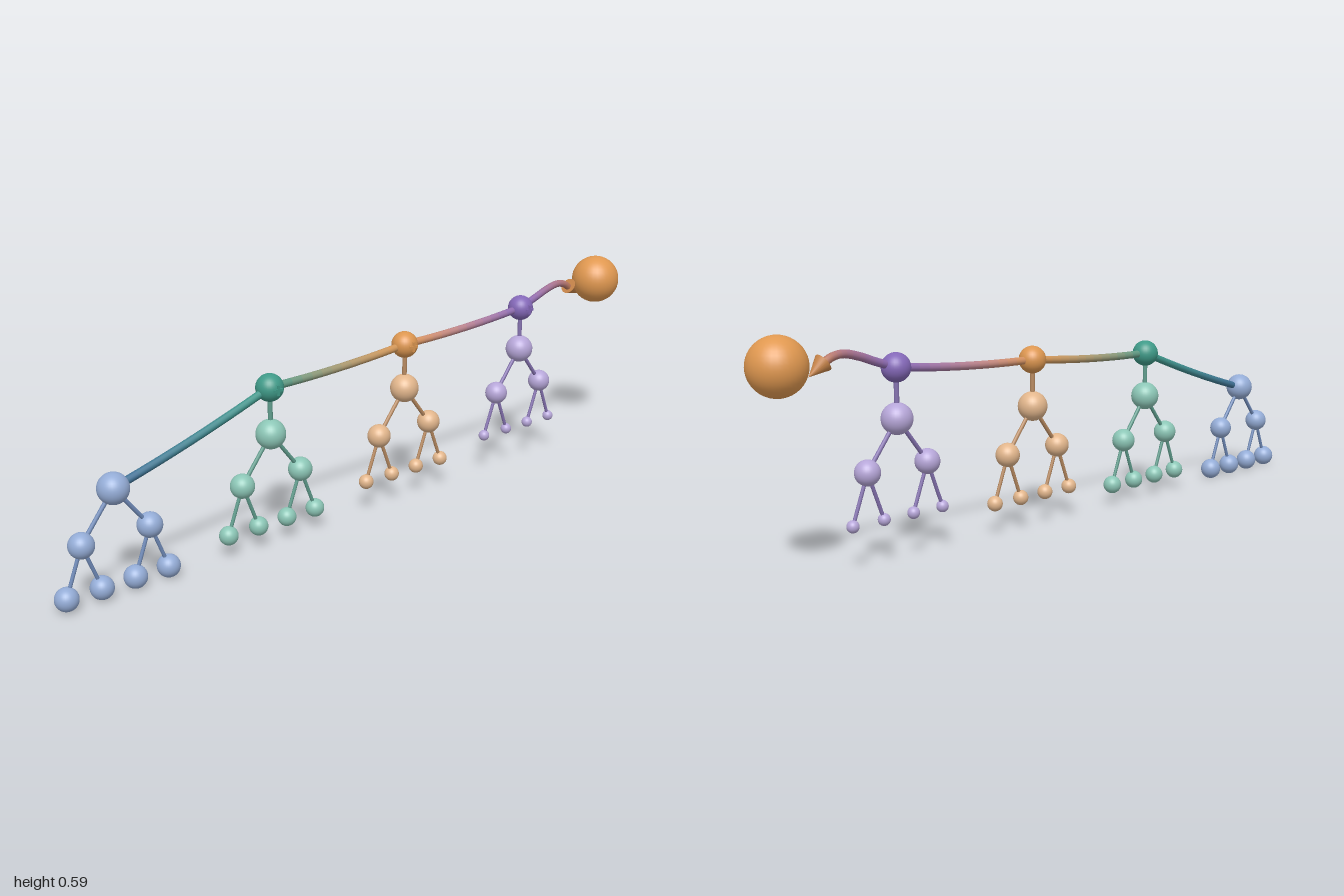
import * as THREE from 'three';

const V = (x, y, z = 0) => new THREE.Vector3(x, y, z);

function add(parent, name, geometry, color) {
  const mesh = new THREE.Mesh(geometry, new THREE.MeshStandardMaterial({ color }));
  mesh.name = name;
  parent.add(mesh);
  return mesh;
}

function ball(parent, name, p, r, color) {
  const mesh = add(parent, name, new THREE.SphereGeometry(r, 32, 20), color);
  mesh.position.copy(p);
  return mesh;
}

// Round rod from a to b
function rod(parent, name, a, b, r, color) {
  const d = b.clone().sub(a);
  const mesh = add(parent, name, new THREE.CylinderGeometry(r, r, d.length(), 12), color);
  mesh.position.copy(a).add(b).multiplyScalar(0.5);
  mesh.quaternion.setFromUnitVectors(V(0, 1), d.normalize());
  return mesh;
}

// Tube along a curve, in short pieces that fade from one colour to the next
function fadingTube(parent, name, curve, r, from, to, pieces = 14) {
  const a = new THREE.Color(from), b = new THREE.Color(to);
  for (let i = 0; i < pieces; i++) {
    const part = new THREE.Curve();
    part.getPoint = (t, target = V(0, 0)) => target.copy(curve.getPoint((i + t) / pieces));
    add(parent, name, new THREE.TubeGeometry(part, 3, r, 12),
      a.clone().lerp(b, (i + 0.5) / pieces));
  }
}

// Binary tree hanging from its root: two branches, four leaves
function tree(root, leafRadius, nodeColor, rodColor) {
  const g = new THREE.Group();
  g.name = 'tree';
  ball(g, 'rootNode', root, 0.04, nodeColor);
  for (const s of [-1, 1]) {
    const mid = V(root.x + s * 0.095, root.y - 0.12);
    rod(g, 'branch', root, mid, 0.0055, rodColor);
    ball(g, 'branchNode', mid, 0.0325, nodeColor);
    for (const t of [-1, 1]) {
      const leaf = V(mid.x + t * 0.048, root.y - 0.244);
      rod(g, 'twig', mid, leaf, 0.0048, rodColor);
      ball(g, 'leafNode', leaf, leafRadius, nodeColor);
    }
  }
  return g;
}

export function createModel() {
  const model = new THREE.Group();
  model.name = 'treeChain';

  // Colours per tree: nodes, rods, hub
  const palette = [
    [0x94acd6, 0x6f8ab8, 0x3f6a96],
    [0x8cc6b6, 0x5f9c8c, 0x3f9a88],
    [0xe2b68c, 0xb88a60, 0xdc9650],
    [0xb6a6d8, 0x8572b0, 0x8468b8],
  ];

  const joints = [];
  palette.forEach(([node, rodColor, hubColor], i) => {
    const root = V(-0.828 + i * 0.471, 0.274 + i * 0.0267);
    model.add(tree(root, 0.03 - i * 0.0047, node, rodColor));
    if (i === 0) {
      joints.push(root);
      return;
    }
    // Summing hub above the tree, with a raised plus on its front
    const hub = V(root.x, root.y + 0.126);
    joints.push(hub);
    rod(model, 'stem', root, hub, 0.0065, rodColor);
    ball(model, 'hub', hub, 0.037, hubColor);
    for (const [w, h] of [[0.028, 0.007], [0.007, 0.028]]) {
      const bar = add(model, 'hubPlus', new THREE.BoxGeometry(w, h, 0.009), hubColor);
      bar.position.set(hub.x, hub.y, 0.0345);
    }
  });

  // Sagging links between the joints
  for (let i = 0; i < 3; i++) {
    const a = joints[i], b = joints[i + 1];
    const sag = a.clone().add(b).multiplyScalar(0.5);
    sag.y -= 0.013;
    fadingTube(model, 'link', new THREE.QuadraticBezierCurve3(a, sag, b), 0.0105,
      palette[i][2], palette[i + 1][2]);
  }

  // Arrow to the result ball
  const arrow = new THREE.CatmullRomCurve3([
    joints[3], V(0.65, 0.501), V(0.695, 0.517), V(0.745, 0.528), V(0.78, 0.522), V(0.81, 0.503),
  ]);
  fadingTube(model, 'arrowShaft', arrow, 0.0105, palette[3][2], 0xc07a48);
  const dir = V(0.8, -0.56).normalize();
  const head = add(model, 'arrowHead', new THREE.ConeGeometry(0.024, 0.052, 24), 0xc8854a);
  head.position.set(0.822, 0.498, 0);
  head.quaternion.setFromUnitVectors(V(0, 1), dir);

  ball(model, 'resultBall', V(0.928, 0.516), 0.072, 0xe09850);
  return model;
}
